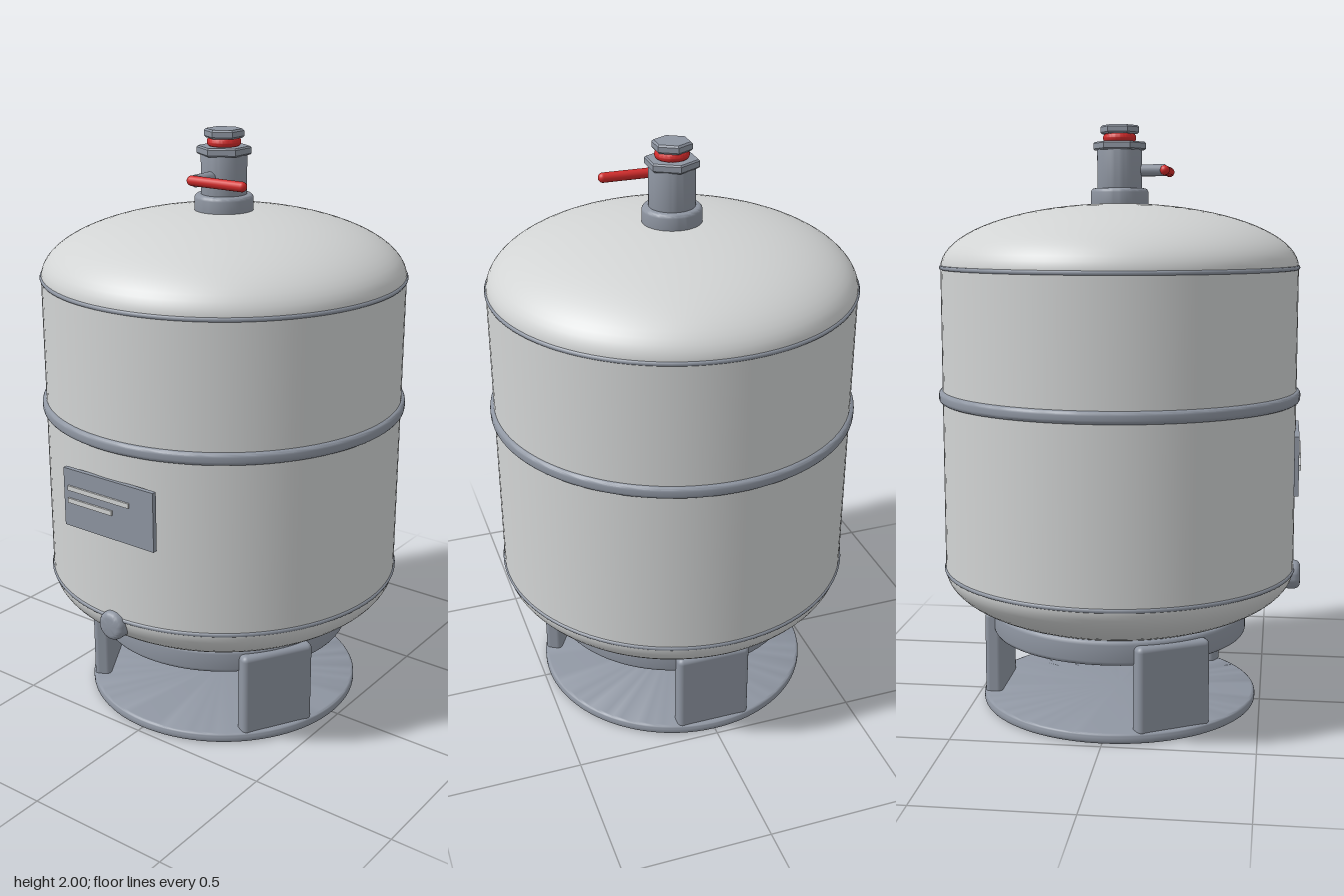
import * as THREE from 'three';
import { toCreasedNormals } from 'three/addons/utils/BufferGeometryUtils.js';
import { RoundedBoxGeometry } from 'three/addons/geometries/RoundedBoxGeometry.js';

const material = (name, color) => {
  const m = new THREE.MeshStandardMaterial({ color });
  m.name = name;
  return m;
};

export function createModel() {
  const group = new THREE.Group();
  const shell = material('light grey paint', 0xd2d4d4);
  const steel = material('blue grey steel', 0x8f96a2);
  const red = material('red plastic', 0xd42b2b);

  const add = (name, geometry, mat, x = 0, y = 0, z = 0) => {
    const mesh = new THREE.Mesh(geometry, mat);
    mesh.name = name;
    mesh.position.set(x, y, z);
    group.add(mesh);
    return mesh;
  };

  // Solid disc or prism standing from y0 to y1 with a rounded rim
  const disc = (r, y0, y1, bevel, sides = 64) => {
    const pts = [new THREE.Vector2(0, y0)];
    const steps = sides > 6 ? 4 : 1;
    for (const [cy, start] of [[y0 + bevel, -Math.PI / 2], [y1 - bevel, 0]]) {
      for (let i = 0; i <= steps; i++) {
        const a = start + (i / steps) * Math.PI / 2;
        pts.push(new THREE.Vector2(r - bevel + bevel * Math.cos(a), cy + bevel * Math.sin(a)));
      }
    }
    pts.push(new THREE.Vector2(0, y1));
    return toCreasedNormals(new THREE.LatheGeometry(pts, sides), 0.6);
  };

  // Tank: straight wall with elliptical ends
  const R = 0.61, rise = 0.215, low = 0.485, high = 1.525;
  const profile = [];
  for (const [cy, start] of [[low, -Math.PI / 2], [high, 0]]) {
    for (let i = 0; i <= 20; i++) {
      const a = start + (i / 20) * Math.PI / 2;
      profile.push(new THREE.Vector2(Math.max(0, R * Math.cos(a)), cy + rise * Math.sin(a)));
    }
  }
  add('tank', new THREE.LatheGeometry(profile, 96), shell);

  // Weld seams and middle band
  for (const y of [low, high]) {
    const seam = add('weldSeam', new THREE.TorusGeometry(0.607, 0.008, 8, 96), steel, 0, y);
    seam.rotation.x = Math.PI / 2;
  }
  add('middleBand', disc(0.623, 1.068, 1.11, 0.014, 96), steel);

  // Stand: foot plate, three legs and support collar
  add('footPlate', disc(0.482, 0, 0.035, 0.012, 96), steel);
  add('supportCollar', disc(0.445, 0.25, 0.335, 0.015, 96), steel);
  for (let i = 0; i < 3; i++) {
    const a = Math.PI + (i * Math.PI * 2) / 3;
    const leg = add('leg', new RoundedBoxGeometry(0.26, 0.3, 0.06, 3, 0.018), steel,
      0.433 * Math.sin(a), 0.17, 0.433 * Math.cos(a));
    leg.rotation.y = a;
  }

  // Valve stack on the dome
  add('valveBase', disc(0.098, 1.72, 1.79, 0.014), steel);
  add('valveBody', disc(0.076, 1.77, 1.93, 0.014), steel);
  add('valveHexFlange', disc(0.09, 1.917, 1.945, 0.005, 6), steel);
  add('valveNeck', disc(0.046, 1.93, 1.985, 0.004), steel);
  add('sealRing', disc(0.056, 1.944, 1.972, 0.012), red);
  add('valveHexCap', disc(0.066, 1.971, 2, 0.006, 6), steel);

  // Lever
  const stem = add('leverStem', new THREE.CylinderGeometry(0.02, 0.02, 0.11, 24), steel, 0, 1.85, 0.1);
  stem.rotation.x = Math.PI / 2;
  const lever = add('lever', new THREE.CapsuleGeometry(0.0165, 0.197, 8, 20), red, 0.085, 1.85, 0.155);
  lever.rotation.z = Math.PI / 2;

  // Name plate with blank raised bars
  add('namePlate', new THREE.BoxGeometry(0.37, 0.2, 0.016), steel, 0, 0.875, 0.613);
  for (const [width, y] of [[0.255, 0.91], [0.185, 0.867]]) {
    add('plateBar', new THREE.BoxGeometry(width, 0.016, 0.009), shell, -0.165 + width / 2, y, 0.623);
  }

  // Drain plug
  const plug = add('drainPlug', disc(0.05, -0.04, 0.04, 0.02, 40), steel, 0, 0.46, 0.594);
  plug.rotation.x = Math.PI / 2;

  return group;
}
